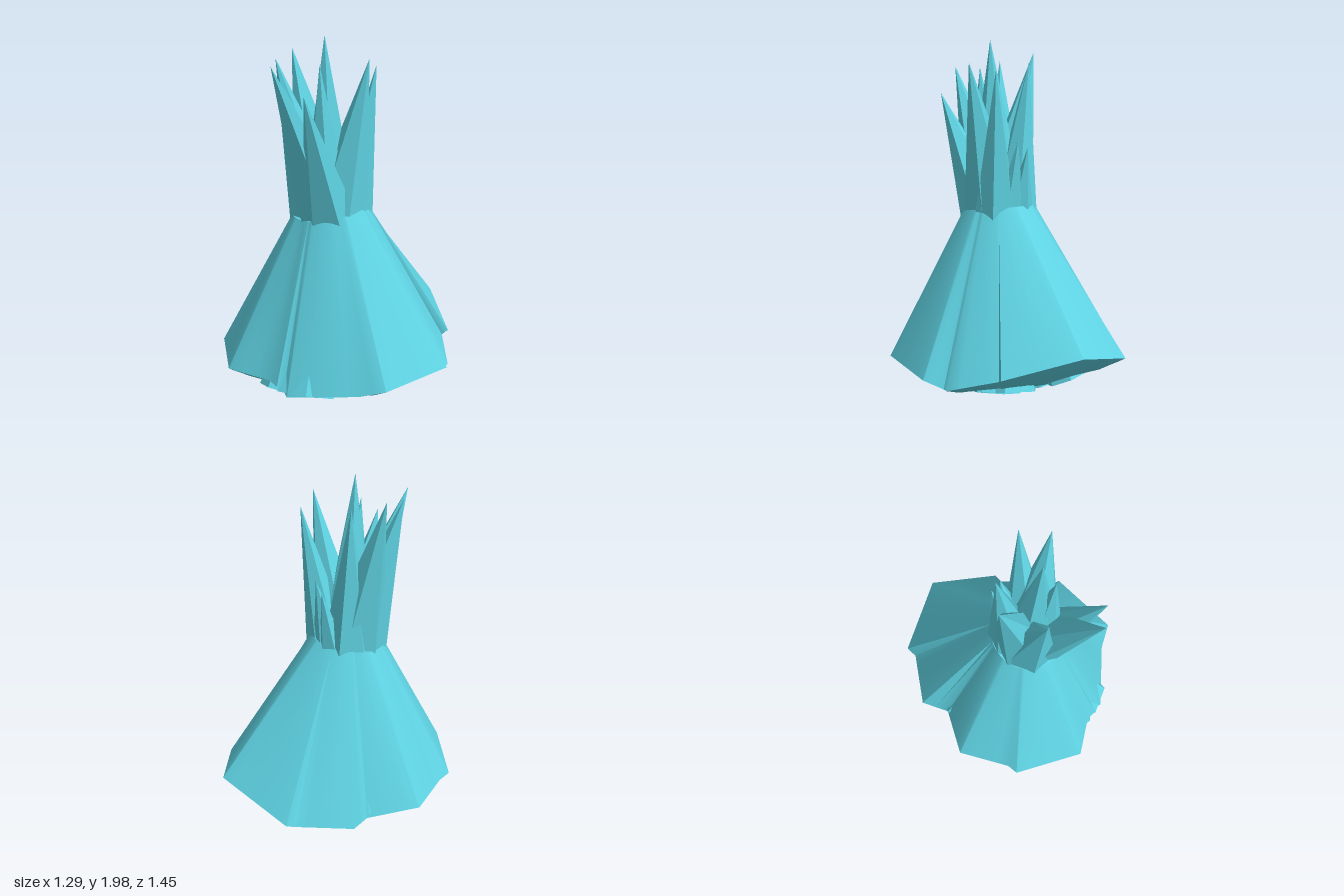
import * as THREE from 'three';
import { toCreasedNormals } from 'three/addons/utils/BufferGeometryUtils.js';

const smooth = new THREE.MeshStandardMaterial({ color: 0x5fd3e3 });
const faceted = new THREE.MeshStandardMaterial({ color: 0x5fd3e3, flatShading: true });
const UP = new THREE.Vector3(0, 1, 0);
const V = (x, y, z) => new THREE.Vector3(x, y, z);

// Small seeded generator for the irregular scales
let seed = 7;
const rand = () => (seed = (seed * 16807) % 2147483647) / 2147483647;

// Cone running from a base centre to a tip
function cone(name, base, tip, radius, sides, roll) {
  const dir = tip.clone().sub(base);
  const len = dir.length();
  const geo = new THREE.ConeGeometry(radius, len, sides).rotateY(roll);
  const mesh = new THREE.Mesh(geo, faceted);
  mesh.name = name;
  mesh.quaternion.setFromUnitVectors(UP, dir.normalize());
  mesh.position.copy(base).add(tip).multiplyScalar(0.5);
  return mesh;
}

// Flared body: round neck ruled down to an irregular rim, closed by a shallow dome
function makeBody() {
  const rim = [
    [-0.035, 0.41, -0.725], [0.33, 0.29, -0.52], [0.32, 0.27, -0.48], [0.54, 0.2, -0.31],
    [0.535, 0.19, -0.26], [0.63, 0.24, -0.21], [0.645, 0.23, 0.24], [0.52, 0.18, 0.31],
    [0.24, 0.15, 0.575], [0.19, 0.16, 0.56], [0.17, 0.19, 0.59], [0.10, 0.2, 0.59],
    [-0.10, 0.235, 0.72], [-0.475, 0.245, 0.53], [-0.48, 0.22, 0.46], [-0.645, 0.25, 0.195],
    [-0.515, 0.19, -0.07], [-0.6, 0.24, -0.21], [-0.425, 0.24, -0.48], [-0.435, 0.28, -0.54],
  ].map(p => V(...p));
  const edge = [];
  rim.forEach((p, i) => {
    const q = rim[(i + 1) % rim.length];
    const n = Math.max(1, Math.round(p.distanceTo(q) / 0.07));
    for (let k = 0; k < n; k++) edge.push(p.clone().lerp(q, k / n));
  });
  const neck = r => edge.map(p => {
    const a = Math.atan2(p.z - 0.11, p.x - 0.01);
    const z = 0.11 + r * Math.sin(a);
    return V(0.01 + r * Math.cos(a), 1.06 - 0.17 * (z - 0.11), z);
  });
  const dome = s => edge.map(p => V(p.x * s, 0.05 + (p.y - 0.05) * s ** 2.3, 0.08 + (p.z - 0.08) * s));
  const rings = [neck(0.01), neck(0.205), edge, dome(0.8), dome(0.55), dome(0.3), dome(0.02)];
  const n = edge.length, pos = [], index = [];
  rings.forEach((ring, i) => ring.forEach((p, j) => {
    pos.push(p.x, p.y, p.z);
    if (i === rings.length - 1) return;
    const a = i * n + j, b = i * n + (j + 1) % n;
    index.push(a, b, a + n, b, b + n, a + n);
  }));
  const geo = new THREE.BufferGeometry();
  geo.setAttribute('position', new THREE.Float32BufferAttribute(pos, 3));
  geo.setIndex(index);
  const mesh = new THREE.Mesh(toCreasedNormals(geo, 0.9), smooth);
  mesh.name = 'flaredBody';
  return mesh;
}

// Crown of broad-based spikes sharing the neck: tip, base x, base z, base radius
function makeCrown() {
  const crown = new THREE.Group();
  crown.name = 'crown';
  [
    [0.08, 1.85, 0.53, 0.03, 0.15, 0.17], [0.22, 1.70, 0.43, 0.07, 0.16, 0.15],
    [-0.13, 1.88, 0.36, -0.03, 0.15, 0.17], [-0.25, 1.93, 0.17, -0.02, 0.12, 0.185],
    [0.035, 2.00, 0.16, 0.02, 0.12, 0.17], [0.235, 1.88, 0.02, 0.06, 0.09, 0.165],
    [0.14, 1.84, -0.11, 0.08, 0.02, 0.125], [-0.14, 1.88, 0.03, -0.06, 0.06, 0.14],
    [0.07, 1.85, 0.22, 0.05, 0.15, 0.14],
    [-0.06, 1.42, -0.1, -0.05, -0.02, 0.08], [0.0, 1.46, -0.1, 0.01, -0.01, 0.09],
  ].forEach(([x, y, z, bx, bz, r], i) => {
    crown.add(cone('spike', V(bx, 1.04 - 0.1 * (bz - 0.1), bz), V(x, y, z), r, 6, i * 1.3));
  });
  return crown;
}

// Overlapping hexagonal scales fanned over the underside
function makeScales() {
  const scales = new THREE.Group();
  scales.name = 'undersideScales';
  const apex = V(-0.01, 1.04, 0.08);
  const count = 60;
  for (let i = 0; i < count; i++) {
    const tilt = 0.45 * Math.sqrt((i + 0.5) / count);
    const turn = i * 2.39996 + 0.5 * rand();
    const len = 0.96 + 0.06 * rand();
    const radius = 0.1 + 0.08 * rand();
    const base = V(Math.sin(tilt) * Math.cos(turn), -Math.cos(tilt), Math.sin(tilt) * Math.sin(turn));
    scales.add(cone('scale', base.multiplyScalar(len).add(apex), apex, radius, 6, rand() * 6));
  }
  return scales;
}

export function createModel() {
  const model = new THREE.Group();
  model.name = 'spikedFlower';
  model.add(makeBody(), makeCrown(), makeScales());
  return model;
}
